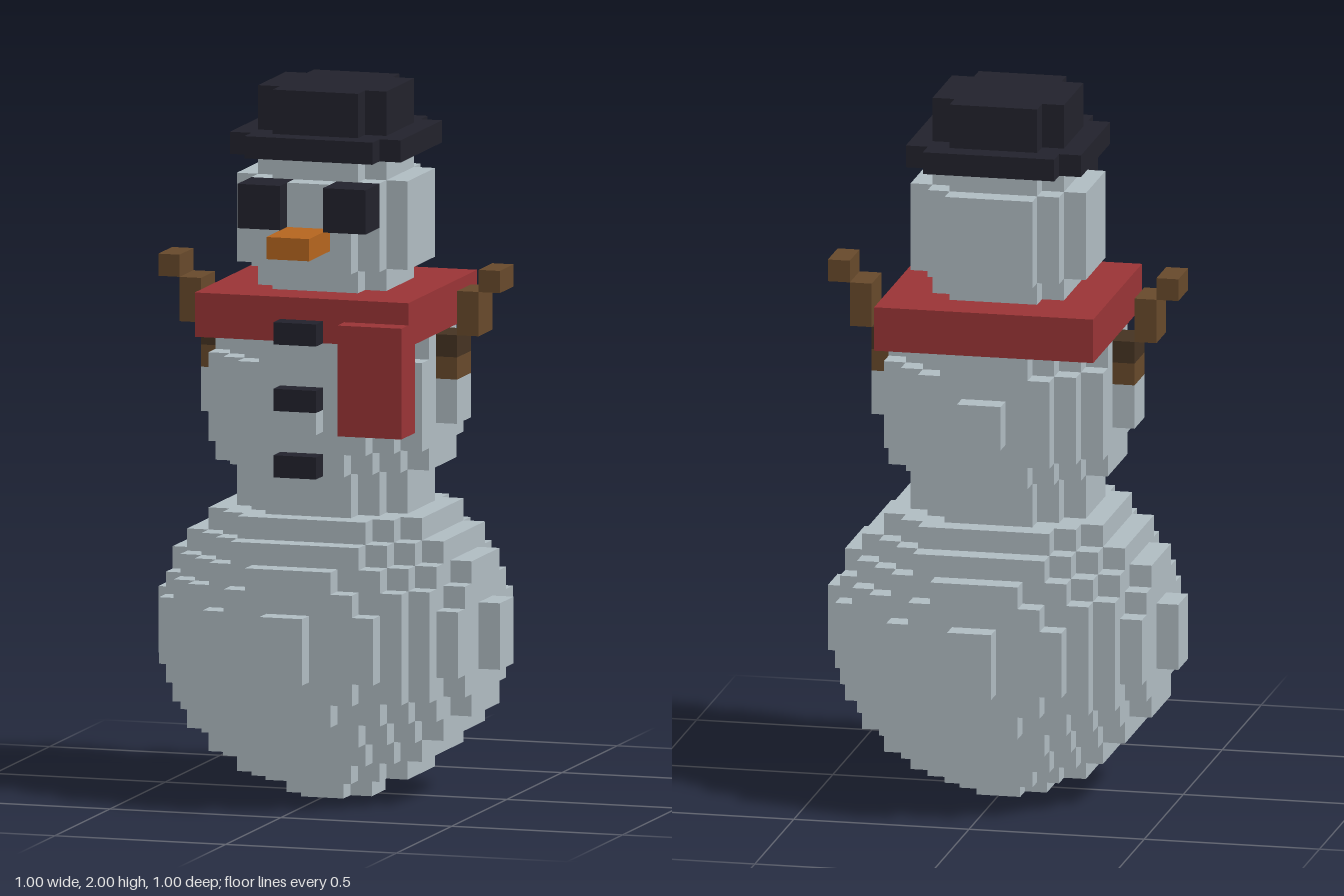
import * as THREE from 'three';

const V = 1 / 16; // edge length of one block

const material = (name, color) => {
  const m = new THREE.MeshStandardMaterial({ color });
  m.name = name;
  return m;
};

export function createModel() {
  const snow = material('snow', 0xb0bcc2);
  const coal = material('coal', 0x22222c);
  const red = material('scarf red', 0x9a3436);
  const orange = material('carrot orange', 0xb5651f);
  const brown = material('bark brown', 0x67492b);
  const darkBrown = material('dark bark', 0x453322);

  const grid = new Map(); // "x,y,z" -> part name; later parts replace earlier ones
  const parts = new Map(); // part name -> material
  const put = (part, mat, x, y, z) => {
    parts.set(part, mat);
    grid.set(`${x},${y},${z}`, part);
  };

  // Solid block from corner a up to corner b, with optional clipped vertical corners
  const block = (part, mat, [x0, y0, z0], [x1, y1, z1], clip = false) => {
    for (let x = x0; x < x1; x++)
      for (let y = y0; y < y1; y++)
        for (let z = z0; z < z1; z++) {
          const corner = (x === x0 || x === x1 - 1) && (z === z0 || z === z1 - 1);
          if (!(clip && corner)) put(part, mat, x, y, z);
        }
  };

  // Blocky ball around row cy; squash flattens it vertically
  const ball = (part, mat, cy, r2, squash) => {
    for (let x = -8; x < 8; x++)
      for (let y = Math.floor(cy - 8); y <= cy + 8; y++)
        for (let z = -8; z < 8; z++)
          if ((x + 0.5) ** 2 + (z + 0.5) ** 2 + squash * (y - cy) ** 2 <= r2) put(part, mat, x, y, z);
  };

  // Snow balls
  ball('lowerBody', snow, 7, 58, 1.11);
  ball('upperBody', snow, 17.5, 31, 1.19);
  ball('head', snow, 25.5, 17, 1);

  // Scarf with its hanging end
  block('scarf', red, [-5, 21, -5], [5, 23, 5]);
  block('scarfTail', red, [2, 17, 4], [5, 22, 6]);

  // Buttons
  for (const y of [15, 18, 21]) block('buttons', coal, [-1, y, 5], [1, y + 1, 6]);

  // Face
  block('rightEye', coal, [-3, 26, 3], [-1, 28, 5]);
  block('leftEye', coal, [1, 26, 3], [3, 28, 5]);
  block('nose', orange, [-1, 25, 4], [1, 26, 7]);

  // Hat
  block('hatBrim', coal, [-4, 29, -4], [4, 30, 4], true);
  block('hatCrown', coal, [-3, 30, -3], [3, 32, 3], true);

  // Stick arms, stepping outward and up
  for (const [side, name] of [[1, 'leftArm'], [-1, 'rightArm']]) {
    const step = (part, mat, x, y0, y1) => {
      const x0 = side > 0 ? x : -x - 1;
      block(part, mat, [x0, y0, -1], [x0 + 1, y1, 1]);
    };
    step(name, brown, 5, 19, 20);
    step(name + 'Joint', darkBrown, 5, 20, 21);
    step(name, brown, 6, 21, 23);
    step(name, brown, 7, 23, 24);
  }

  // Collect the exposed faces of every part
  const faces = new Map([...parts.keys()].map((p) => [p, []]));
  for (const [key, part] of grid) {
    const p = key.split(',').map(Number);
    for (let d = 0; d < 3; d++)
      for (const s of [1, -1]) {
        const next = [...p];
        next[d] += s;
        if (grid.has(next.join())) continue;
        const quad = [[0, 0], [1, 0], [1, 1], [0, 1]].map(([u, v]) => {
          const c = [...p];
          if (s > 0) c[d] += 1;
          c[(d + 1) % 3] += u;
          c[(d + 2) % 3] += v;
          return c.map((n) => n * V);
        });
        if (s < 0) quad.reverse();
        for (const i of [0, 1, 2, 0, 2, 3]) faces.get(part).push(...quad[i]);
      }
  }

  const group = new THREE.Group();
  group.name = 'snowman';
  for (const [part, positions] of faces) {
    const geometry = new THREE.BufferGeometry();
    geometry.setAttribute('position', new THREE.Float32BufferAttribute(positions, 3));
    geometry.computeVertexNormals();
    const mesh = new THREE.Mesh(geometry, parts.get(part));
    mesh.name = part;
    group.add(mesh);
  }
  return group;
}
